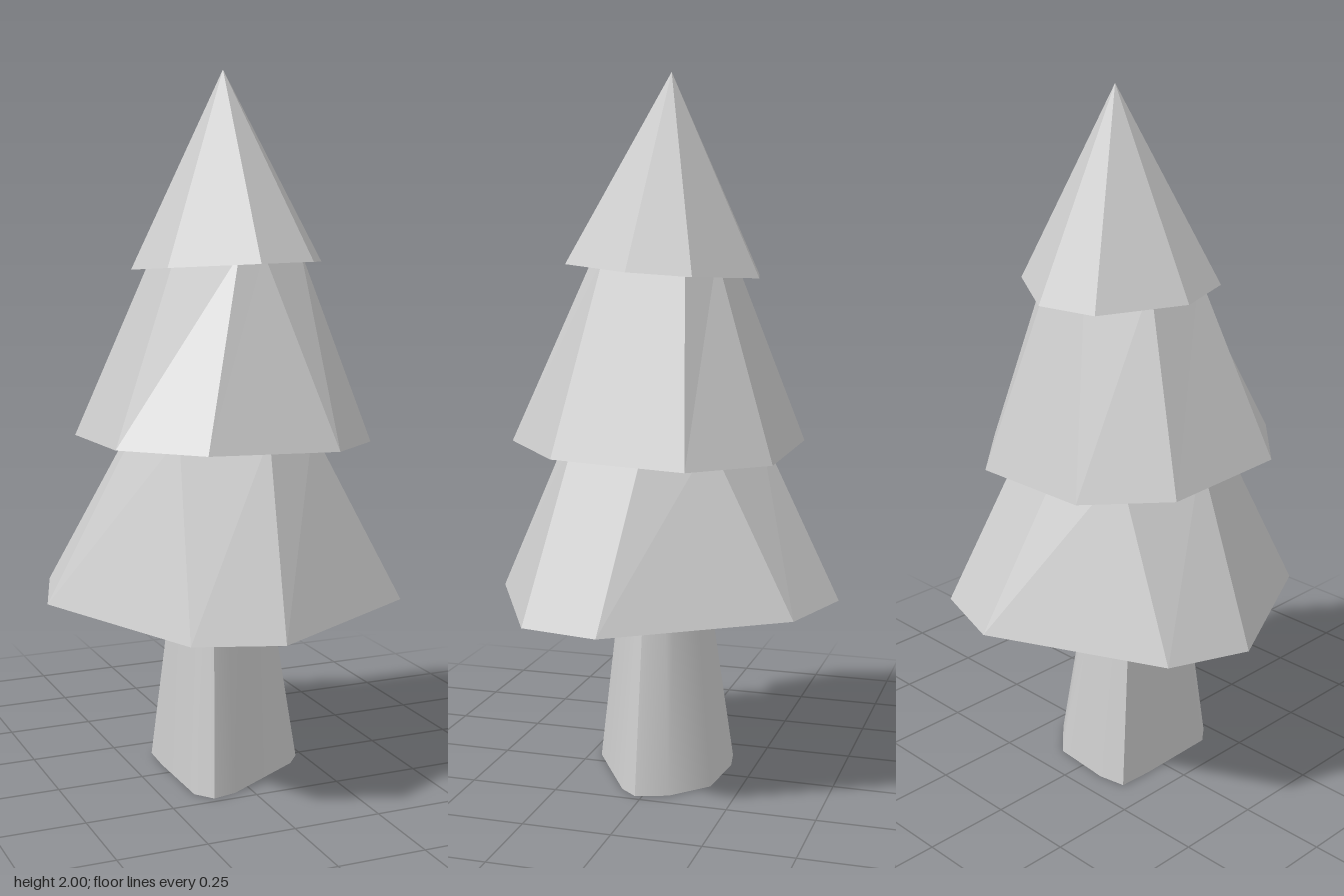
import * as THREE from 'three';
import { toCreasedNormals } from 'three/addons/utils/BufferGeometryUtils.js';

// Skin a wall between two closed rings of [x, y, z] points (clockwise from above)
function loft(lower, upper) {
  const pos = [];
  const n = lower.length;
  for (let i = 0; i < n; i++) {
    const j = (i + 1) % n;
    pos.push(...lower[i], ...upper[i], ...lower[j]);
    pos.push(...lower[j], ...upper[i], ...upper[j]);
  }
  const g = new THREE.BufferGeometry();
  g.setAttribute('position', new THREE.Float32BufferAttribute(pos, 3));
  g.computeVertexNormals();
  return g;
}

// Lift flat [x, z] outlines onto a slightly tilted plane
const tilt = (pts, y, sx = 0, sz = 0) => pts.map(([x, z]) => [x, y + sx * x + sz * z, z]);

// Continue a wall past its upper ring so it tucks under the tier above
const extend = (lower, upper, t) =>
  lower.map((p, i) => p.map((v, k) => v + (upper[i][k] - v) * t));

// Repeat a pair of points by quarter turns into an eight-point ring
function quarterTurns(pair) {
  const ring = [];
  for (let q = 0; q < 4; q++) {
    for (const [x, z] of pair) {
      ring.push([[x, z], [-z, x], [-x, -z], [z, -x]][q]);
    }
  }
  return ring;
}

export function createModel() {
  const tree = new THREE.Group();
  tree.name = 'tree';

  const leafMat = new THREE.MeshStandardMaterial({
    color: 0xcccccc, flatShading: true, side: THREE.DoubleSide,
  });
  const barkMat = new THREE.MeshStandardMaterial({ color: 0xcccccc, side: THREE.DoubleSide });

  const add = (name, geometry, material) => {
    const mesh = new THREE.Mesh(geometry, material);
    mesh.name = name;
    tree.add(mesh);
  };

  // Trunk: tapered rounded triangle, open at the foot
  const foot = [
    [0.23, 0.02], [0.19, 0.07], [-0.05, 0.215], [-0.12, 0.23], [-0.16, 0.18],
    [-0.165, -0.065], [-0.16, -0.165], [-0.08, -0.18], [0.1, -0.165], [0.2, -0.07],
  ];
  const trunkTop = 0.95;
  const taper = 1 - 0.654 * trunkTop;
  const neck = foot.map(([x, z]) => [(x - 0.035) * taper - 0.01, (z - 0.025) * taper + 0.028]);
  add('trunk', toCreasedNormals(loft(tilt(foot, 0), tilt(neck, trunkTop)), THREE.MathUtils.degToRad(50)), barkMat);

  // Lower tier: alternating long and short sides twisting into an even octagon
  const lowA = tilt(quarterTurns([[0.513, 0.034], [0.436, 0.271]]), 0.533, 0.005, -0.045);
  const lowB = tilt(quarterTurns([[0.29, -0.02], [0.205, 0.208]]), 0.98);
  add('lowerFoliage', loft(lowA, extend(lowA, lowB, 1.08)), leafMat);

  // Middle tier
  const midA = tilt([
    [0.375, -0.165], [0.365, 0.21], [0.175, 0.395], [-0.2, 0.385],
    [-0.385, 0.19], [-0.378, -0.185], [-0.185, -0.365], [0.19, -0.357],
  ], 0.975, -0.03, 0.04);
  const midB = tilt([
    [0.2, -0.115], [0.2, 0.125], [0.05, 0.21], [-0.045, 0.21],
    [-0.195, 0.11], [-0.19, -0.085], [-0.05, -0.2], [0.11, -0.19],
  ], 1.465);
  add('middleFoliage', loft(midA, extend(midA, midB, 1.08)), leafMat);

  // Top tier: pointed cap
  const topA = tilt([
    [0.3, 0.02], [0.17, 0.235], [-0.005, 0.28], [-0.22, 0.15],
    [-0.262, -0.022], [-0.132, -0.24], [0.04, -0.28], [0.255, -0.15],
  ], 1.462, 0.018, 0.068);
  const tip = topA.map(() => [0.012, 2, -0.022]);
  add('topFoliage', loft(topA, tip), leafMat);

  return tree;
}
